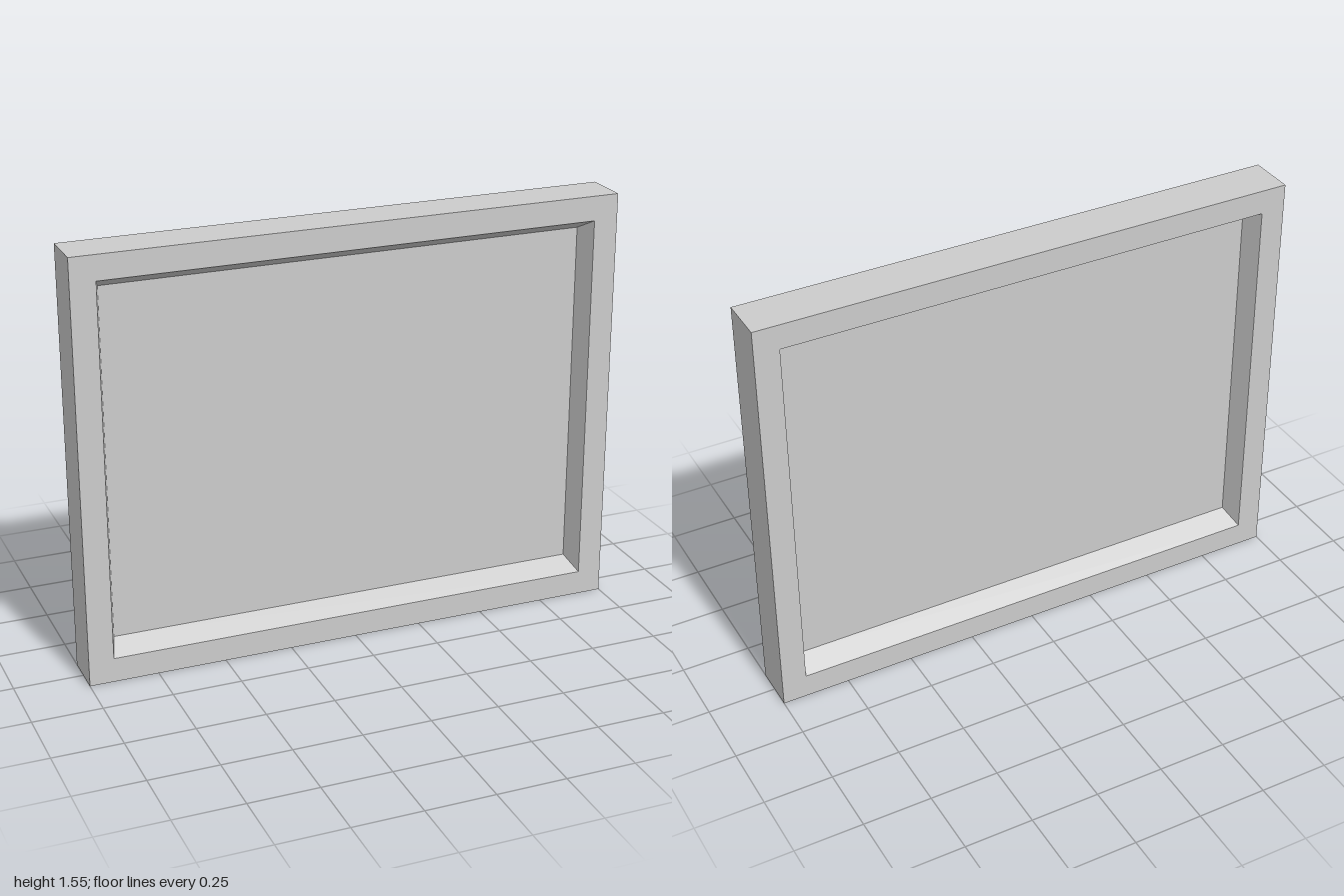
import * as THREE from 'three';

const HALF_DEPTH = 0.085;  // frame half thickness
const PANEL_HALF = 0.005;  // panel half thickness
const CENTRE_Y = 0.7775;

// Rectangular cross-section, counter-clockwise seen from the front
const loop = (hx, hy, z) => [[-hx, -hy, z], [hx, -hy, z], [hx, hy, z], [-hx, hy, z]];

// Join successive loops with flat quads
function skin(loops) {
  const pos = [];
  for (let k = 0; k < loops.length - 1; k++) {
    const a = loops[k], b = loops[k + 1];
    for (let i = 0; i < 4; i++) {
      const j = (i + 1) % 4;
      pos.push(...a[i], ...b[i], ...b[j], ...a[i], ...b[j], ...a[j]);
    }
  }
  const geometry = new THREE.BufferGeometry();
  geometry.setAttribute('position', new THREE.Float32BufferAttribute(pos, 3));
  geometry.computeVertexNormals();
  return geometry;
}

export function createModel() {
  const group = new THREE.Group();
  const material = new THREE.MeshStandardMaterial({ color: 0xcccccc, flatShading: true });
  const add = (name, geometry) => {
    const mesh = new THREE.Mesh(geometry, material);
    mesh.name = name;
    mesh.position.y = CENTRE_Y;
    group.add(mesh);
  };

  // Frame with inner walls sloping in to the panel, alike on both sides
  add('frame', skin([
    loop(0.885, 0.645, PANEL_HALF),
    loop(0.91, 0.6875, HALF_DEPTH),
    loop(1, 0.7775, HALF_DEPTH),
    loop(1, 0.7775, -HALF_DEPTH),
    loop(0.91, 0.6875, -HALF_DEPTH),
    loop(0.885, 0.645, -PANEL_HALF),
  ]));

  // Thin recessed panel, facing front and back
  for (const side of [1, -1]) {
    const face = new THREE.PlaneGeometry(1.77, 1.29);
    if (side < 0) face.rotateY(Math.PI);
    face.translate(0, 0, side * PANEL_HALF);
    add(side > 0 ? 'frontPanel' : 'backPanel', face);
  }
  return group;
}
